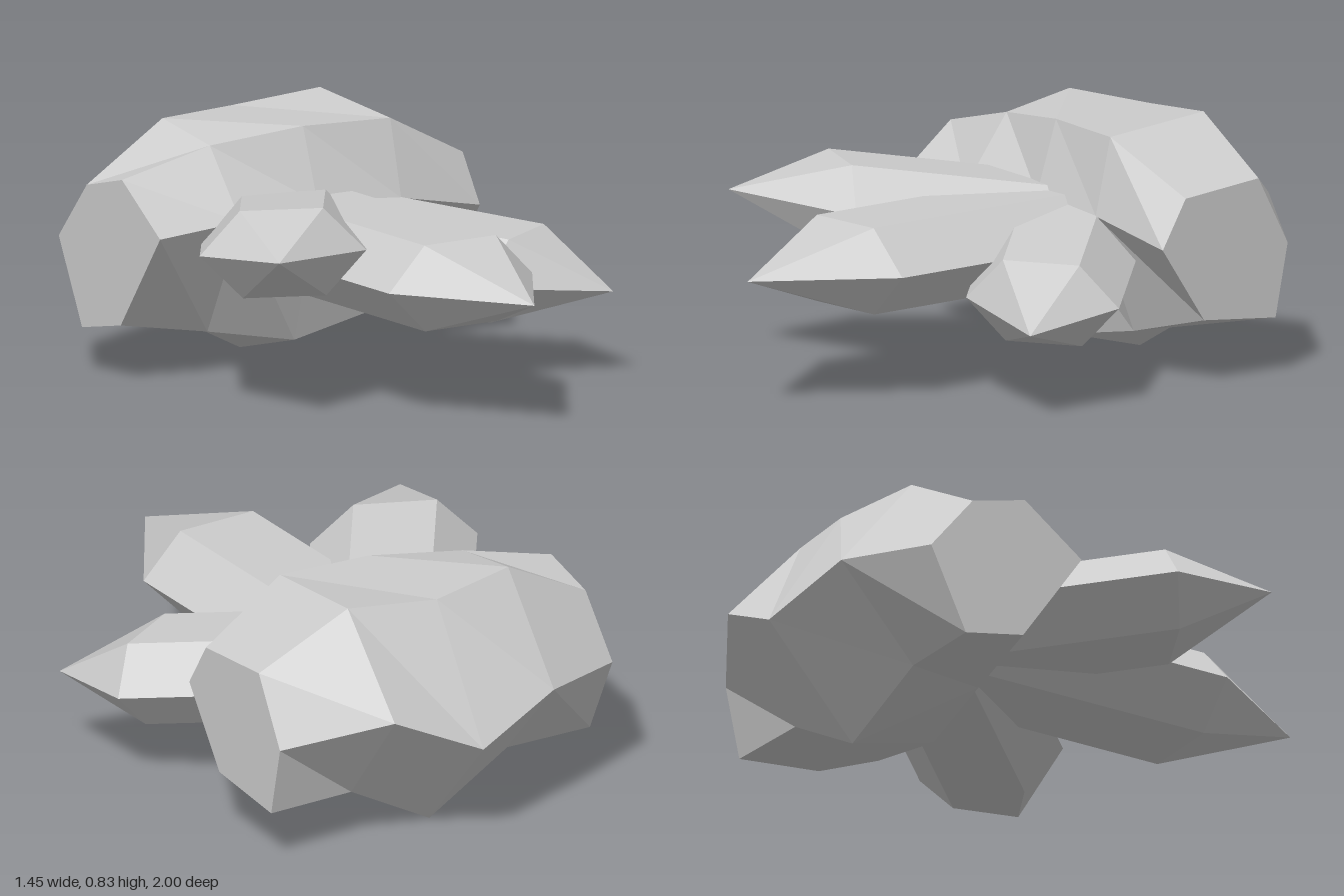
import * as THREE from 'three';

// Joins rings of equal point count (counter-clockwise seen from the last ring); a one-point end makes a tip.
function loft(rings) {
  const pos = [];
  const tri = (a, b, c) => pos.push(...a, ...b, ...c);
  const n = rings[0].length;
  for (let r = 0; r < rings.length - 1; r++) {
    const p = rings[r], q = rings[r + 1];
    for (let i = 0; i < n; i++) {
      const j = (i + 1) % n;
      if (q.length === 1) { tri(p[i], p[j], q[0]); continue; }
      tri(p[i], p[j], q[j]);
      tri(p[i], q[j], q[i]);
    }
  }
  const cap = (ring, flip) => {
    for (let i = 1; i < ring.length - 1; i++) {
      if (flip) tri(ring[0], ring[i + 1], ring[i]);
      else tri(ring[0], ring[i], ring[i + 1]);
    }
  };
  cap(rings[0], true);
  cap(rings[rings.length - 1], false);
  const g = new THREE.BufferGeometry();
  g.setAttribute('position', new THREE.Float32BufferAttribute(pos, 3));
  g.computeVertexNormals();
  return g;
}

// Flattened six-sided crystal: ring centre, side corner offset, top corner offset, tip and buried root.
function crystal(center, side, top, tip, root) {
  const c = new THREE.Vector3(...center);
  const a = new THREE.Vector3(...side), b = new THREE.Vector3(...top);
  const d = b.clone().sub(a);
  const offsets = [a, b, d, a.clone().negate(), b.clone().negate(), d.clone().negate()];
  const ringAt = (o) => offsets.map((v) => v.clone().add(o).toArray());
  return loft([ringAt(new THREE.Vector3(...root)), ringAt(c), [tip]]);
}

export function createModel() {
  const group = new THREE.Group();
  const stone = new THREE.MeshStandardMaterial({ color: 0xcccccc, flatShading: true });
  stone.name = 'paleStone';
  const add = (name, geometry) => {
    const mesh = new THREE.Mesh(geometry, stone);
    mesh.name = name;
    group.add(mesh);
  };

  // Rock: six-sided sections along x, each as [z, y] pairs from lower front round the back to upper front
  const sections = [
    [-0.655, [[-0.206, 0.522], [-0.43, 0.197], [-0.65, 0.152], [-0.783, 0.434], [-0.624, 0.63], [-0.423, 0.682]]],
    [-0.333, [[-0.21, 0.54], [-0.40, 0.142], [-0.65, 0.16], [-0.926, 0.47], [-0.656, 0.806], [-0.386, 0.763]]],
    [-0.01, [[-0.238, 0.56], [-0.37, 0.08], [-0.68, 0], [-1, 0.365], [-0.725, 0.797], [-0.32, 0.8]]],
    [0.307, [[-0.218, 0.54], [-0.38, 0.138], [-0.70, 0.18], [-0.958, 0.52], [-0.68, 0.826], [-0.28, 0.795]]],
    [0.627, [[-0.23, 0.475], [-0.407, 0.22], [-0.713, 0.188], [-0.765, 0.43], [-0.64, 0.66], [-0.328, 0.634]]],
  ];
  add('rock', loft(sections.map(([x, ring]) => ring.map(([z, y]) => [x, y, z]))));

  // Three crystals fanning out of the front of the rock
  add('middleCrystal', crystal([-0.012, 0.438, 0.58], [0.283, 0, 0], [0.14, 0.143, 0], [-0.012, 0.438, 1], [-0.012, 0.438, -0.4]));
  add('rightCrystal', crystal([-0.475, 0.534, 0.235], [0.25, 0, 0.115], [0.134, 0.14, 0.035], [-0.68, 0.573, 0.508], [-0.05, 0.445, -0.36]));
  add('leftCrystal', crystal([0.495, 0.335, 0.172], [0.23, 0, -0.13], [0.135, 0.14, -0.042], [0.71, 0.291, 0.41], [-0.01, 0.44, -0.38]));
  return group;
}
